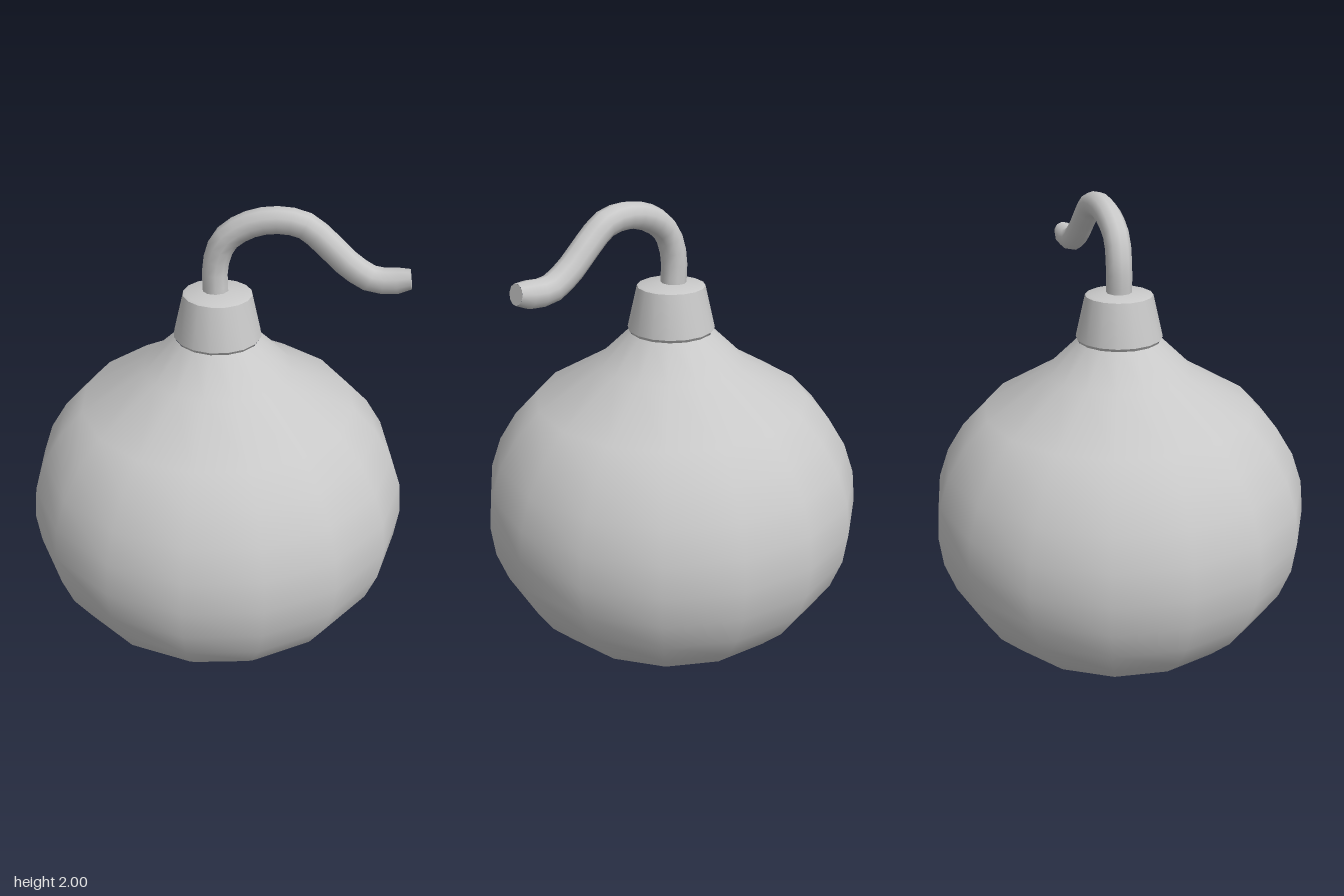
import * as THREE from 'three';
import { toCreasedNormals } from 'three/addons/utils/BufferGeometryUtils.js';

export function createModel() {
  const model = new THREE.Group();
  const grey = new THREE.MeshStandardMaterial({ name: 'plain grey', color: 0xc8c8c8 });
  const SIDES = 16, TURN = 0.055;

  const add = (name, geometry) => {
    const mesh = new THREE.Mesh(geometry, grey);
    mesh.name = name;
    model.add(mesh);
    return mesh;
  };
  const lathe = (points) =>
    new THREE.LatheGeometry(points.map(([r, y]) => new THREE.Vector2(r, y)), SIDES, TURN);

  // Round body: slightly squashed ball that sweeps up into a short neck
  const profile = [];
  for (let i = 0; i <= 13; i++) {
    const a = (i / 16) * Math.PI;
    profile.push([0.797 * Math.sin(a), 0.687 - 0.687 * Math.cos(a)]);
  }
  profile[13] = [0.305, 1.325];
  profile.push([0.17, 1.455]);
  add('body', lathe(profile));

  // Tapered collar with a bevelled foot and a shallow domed top
  add('collar', toCreasedNormals(lathe([
    [0.15, 1.45], [0.165, 1.45], [0.177, 1.467], [0.137, 1.64], [0.125, 1.645], [0, 1.658],
  ]), 0.6));

  // Curved fuse, lying in one upright plane that leans to the back left
  const path = new THREE.CatmullRomCurve3([
    [-0.008, 1.62], [-0.01, 1.76], [0.025, 1.86], [0.105, 1.925], [0.2, 1.95], [0.295, 1.935],
    [0.37, 1.872], [0.45, 1.793], [0.53, 1.742], [0.6, 1.74], [0.66, 1.752],
  ].map(([x, y]) => new THREE.Vector3(x, y, -0.485 * Math.max(x, 0))));
  const RINGS = 20, ROUND = 10, RADIUS = 0.052, TIP = 0.76;
  const tube = new THREE.TubeGeometry(path, RINGS, RADIUS, ROUND);
  const pos = tube.attributes.position;
  const end = path.getPointAt(1), v = new THREE.Vector3();
  // Narrow the last ring to bevel the tip
  for (let i = RINGS * (ROUND + 1); i < pos.count; i++) {
    v.fromBufferAttribute(pos, i).sub(end).multiplyScalar(TIP).add(end);
    pos.setXYZ(i, v.x, v.y, v.z);
  }
  add('fuse', tube);

  // Flat end of the fuse
  const tip = add('fuseTip', new THREE.CircleGeometry(RADIUS * TIP, ROUND));
  tip.position.copy(end);
  tip.lookAt(end.clone().add(path.getTangentAt(1)));

  return model;
}
